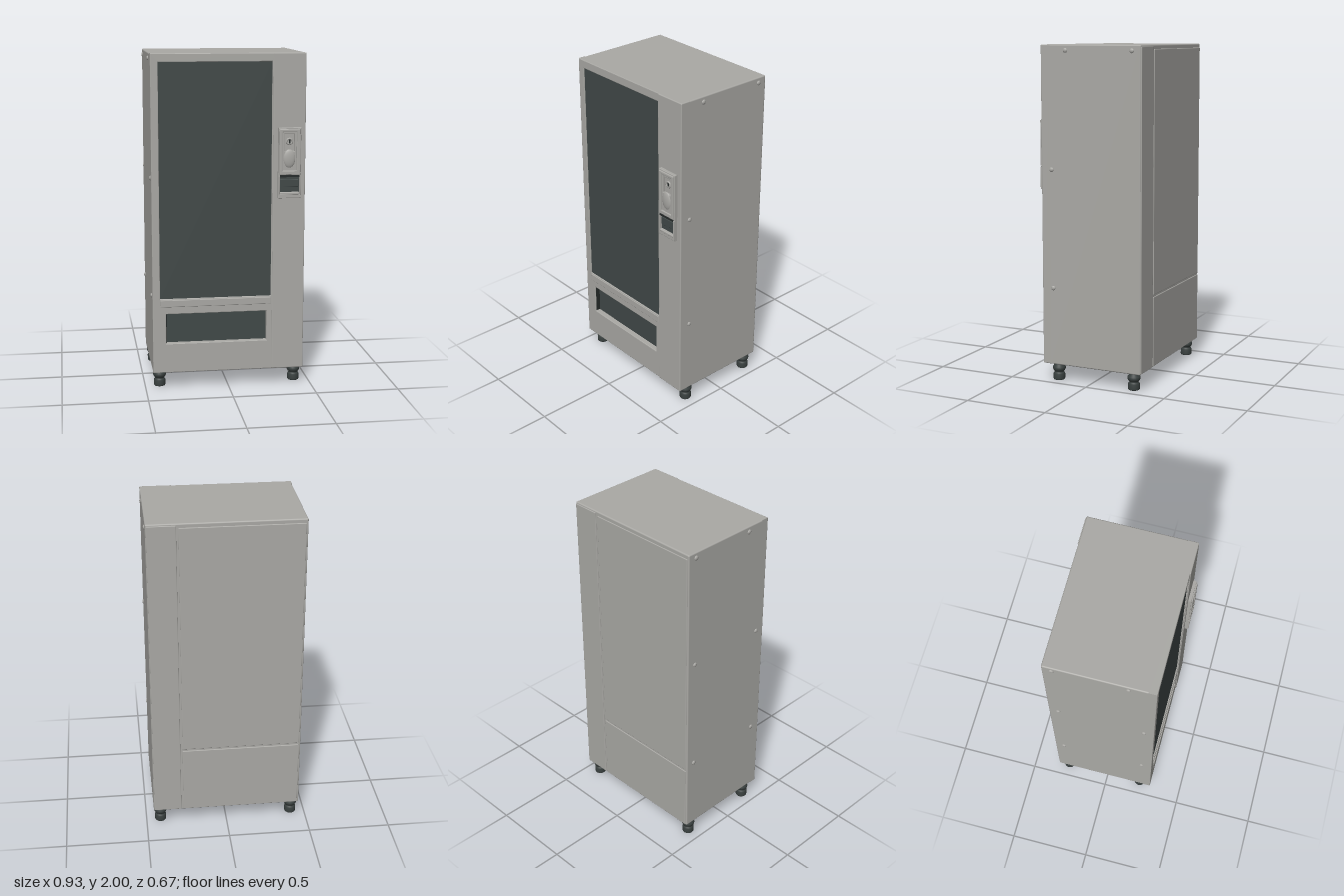
import * as THREE from 'three';
import { RoundedBoxGeometry } from 'three/addons/geometries/RoundedBoxGeometry.js';

export function createModel() {
  const model = new THREE.Group();
  model.name = 'vendingMachine';
  const material = (name, color) => {
    const m = new THREE.MeshStandardMaterial({ color });
    m.name = name;
    return m;
  };
  const shell = material('greyShell', 0xaaa9a5);
  const glass = material('darkGlass', 0x414948);
  const rubber = material('darkRubber', 0x3a4140);
  const shadow = material('blackTrim', 0x262b2a);

  const add = (name, geometry, mat, parent = model) => {
    const mesh = new THREE.Mesh(geometry, mat);
    mesh.name = name;
    parent.add(mesh);
    return mesh;
  };
  // Box given by its limits; r rounds the edges
  const block = (name, x0, x1, y0, y1, z0, z1, mat, r = 0, parent = model) => {
    const w = x1 - x0, h = y1 - y0, d = z1 - z0;
    const g = r ? new RoundedBoxGeometry(w, h, d, 3, r) : new THREE.BoxGeometry(w, h, d);
    g.translate((x0 + x1) / 2, (y0 + y1) / 2, (z0 + z1) / 2);
    return add(name, g, mat, parent);
  };
  const rect = (path, x0, x1, y0, y1) => {
    path.moveTo(x0, y0);
    path.lineTo(x1, y0);
    path.lineTo(x1, y1);
    path.lineTo(x0, y1);
    path.closePath();
    return path;
  };
  // Plate with rectangular openings and a small bevel, from z0 to z1
  const frame = (name, outer, holes, z0, z1, bevel, mat, parent = model) => {
    const [x0, x1, y0, y1] = outer;
    const b = bevel;
    const shape = rect(new THREE.Shape(), x0 + b, x1 - b, y0 + b, y1 - b);
    for (const [a, c, e, f] of holes) {
      shape.holes.push(rect(new THREE.Path(), a - b, c + b, e - b, f + b));
    }
    const g = new THREE.ExtrudeGeometry(shape, {
      depth: z1 - z0 - 2 * b, bevelEnabled: true, bevelSize: b, bevelThickness: b, bevelSegments: 2,
    });
    g.translate(0, 0, z0 + b);
    return add(name, g, mat, parent);
  };

  // Cabinet
  block('cabinet', -0.455, 0.455, 0.1, 2, -0.33, 0.262, shell, 0.008);

  // Door with display window and delivery opening
  const windowHole = [-0.41, 0.255, 0.555, 1.95];
  const trayHole = [-0.375, 0.23, 0.28, 0.462];
  frame('doorFrame', [-0.455, 0.268, 0.1, 2], [windowHole, trayHole], 0.25, 0.301, 0.004, shell);
  block('displayWindow', -0.412, 0.257, 0.553, 1.952, 0.25, 0.294, glass);
  block('deliveryFlap', -0.377, 0.232, 0.278, 0.464, 0.255, 0.268, glass);
  block('flapSideReveal', -0.375, -0.371, 0.284, 0.458, 0.262, 0.294, shadow);
  block('doorRail', -0.41, 0.255, 0.505, 0.548, 0.295, 0.304, shell, 0.004);

  // Control column beside the door
  block('controlColumn', 0.262, 0.455, 0.1, 2, 0.24, 0.306, shell, 0.006);

  // Payment unit
  const pay = new THREE.Group();
  pay.name = 'paymentUnit';
  model.add(pay);
  frame('paymentFrame', [0.29, 0.425, 1.15, 1.567], [[0.298, 0.417, 1.173, 1.275], [0.325, 0.385, 1.43, 1.53]],
    0.302, 0.325, 0.003, shell, pay);
  frame('paymentRim', [0.296, 0.42, 1.29, 1.56], [[0.316, 0.398, 1.315, 1.542]], 0.318, 0.333, 0.004, shell, pay);
  block('slotRecess', 0.322, 0.388, 1.427, 1.533, 0.304, 0.31, shell, 0, pay);
  const coin = add('coinInlet', new THREE.TorusGeometry(0.016, 0.006, 8, 24), shell, pay);
  coin.position.set(0.357, 1.485, 0.312);
  block('coinSlot', 0.354, 0.361, 1.465, 1.502, 0.309, 0.316, shadow, 0, pay);
  const bulge = add('returnButton', new THREE.SphereGeometry(1, 24, 16), shell, pay);
  bulge.scale.set(0.036, 0.055, 0.012);
  bulge.position.set(0.355, 1.385, 0.322);
  block('shadowGap', 0.3, 0.416, 1.276, 1.288, 0.32, 0.33, shadow, 0, pay);
  block('returnCupBack', 0.296, 0.419, 1.171, 1.277, 0.304, 0.309, glass, 0, pay);
  block('returnCupFlap', 0.302, 0.413, 1.215, 1.262, 0.309, 0.318, glass, 0.003, pay);
  block('returnCupLip', 0.3, 0.415, 1.172, 1.186, 0.309, 0.33, shell, 0.004, pay);
  for (const x of [0.291, 0.417]) {
    block('cupCheek', x, x + 0.008, 1.155, 1.285, 0.315, 0.331, shell, 0.003, pay);
  }

  // Back panels with grooves between them
  block('backColumnPanel', 0.283, 0.45, 0.105, 1.99, -0.335, -0.32, shell, 0.004);
  block('backUpperPanel', -0.445, 0.27, 0.54, 1.975, -0.334, -0.32, shell, 0.004);
  block('backLowerPanel', -0.445, 0.27, 0.105, 0.528, -0.334, -0.32, shell, 0.004);

  // Side bolts: [z, y]
  const bolts = [[0.145, 1.967], [-0.275, 1.967], [0.24, 1.275], [0.235, 0.567]];
  const boltGeometry = new THREE.SphereGeometry(1, 14, 10);
  for (const side of [-1, 1]) {
    const spots = side < 0 ? [...bolts, [-0.275, 1.28], [-0.275, 0.57]] : bolts;
    for (const [z, y] of spots) {
      const bolt = add('sideBolt', boltGeometry, shell);
      bolt.scale.set(0.008, 0.014, 0.014);
      bolt.position.set(side * 0.455, y, z);
    }
  }

  // Turned feet
  const profile = [
    [0, 0], [0.032, 0], [0.035, 0.005], [0.035, 0.036], [0.03, 0.044], [0.025, 0.049],
    [0.034, 0.056], [0.039, 0.068], [0.038, 0.08], [0.03, 0.09], [0.026, 0.105],
  ].map(([r, y]) => new THREE.Vector2(r, y));
  const footGeometry = new THREE.LatheGeometry(profile, 24);
  for (const x of [-0.412, 0.412]) {
    for (const z of [0.222, -0.272]) {
      add('foot', footGeometry, rubber).position.set(x, 0, z);
    }
  }

  // Dark base plate under the cabinet, with arms toward the feet
  const base = new THREE.Shape([
    [0.45, 0.29], [0.42, 0.1], [0.3, -0.17], [-0.04, -0.16], [-0.24, -0.08], [-0.44, -0.3],
    [-0.34, -0.02], [-0.45, 0.29], [-0.24, 0.16], [-0.1, -0.02], [0.2, -0.02], [0.3, 0.14],
  ].map(([x, z]) => new THREE.Vector2(x, z)));
  const plate = add('basePlate', new THREE.ShapeGeometry(base), shadow);
  plate.rotation.x = Math.PI / 2;
  plate.position.y = 0.098;

  return model;
}
